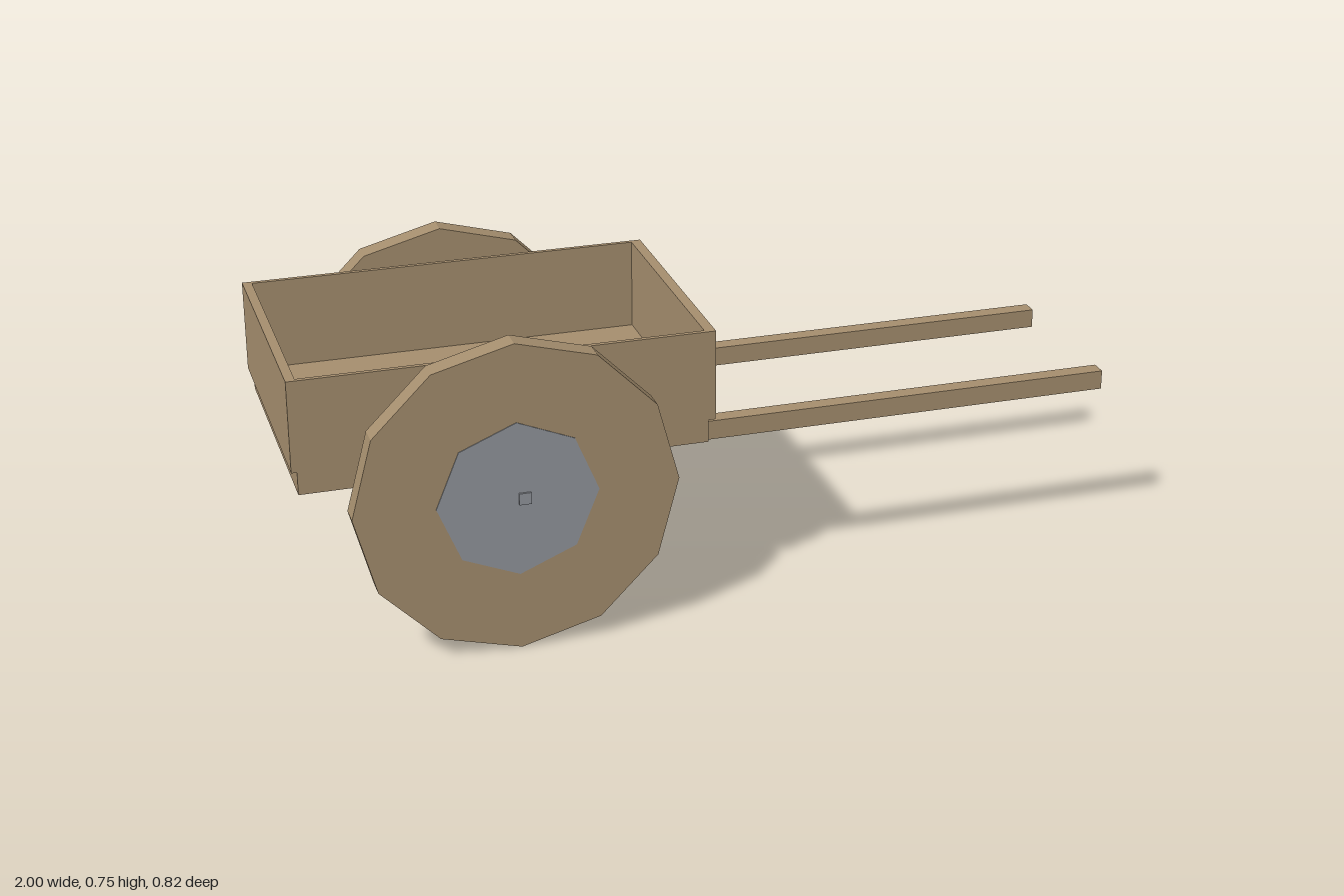
import * as THREE from 'three';

export function createModel() {
  const cart = new THREE.Group();
  cart.name = 'handcart';

  const wood = new THREE.MeshStandardMaterial({ color: 0xa68f6f, flatShading: true });
  wood.name = 'wood';
  const iron = new THREE.MeshStandardMaterial({ color: 0x94989f, flatShading: true });
  iron.name = 'iron';

  const add = (name, geometry, material) => {
    const mesh = new THREE.Mesh(geometry, material);
    mesh.name = name;
    cart.add(mesh);
    return mesh;
  };

  // Box given by its lower and upper limits on each axis
  const slab = (name, material, [x0, x1], [y0, y1], [z0, z1]) => {
    const mesh = add(name, new THREE.BoxGeometry(x1 - x0, y1 - y0, z1 - z0), material);
    mesh.position.set((x0 + x1) / 2, (y0 + y1) / 2, (z0 + z1) / 2);
    return mesh;
  };

  // Disc standing upright, with its flat faces along z and a corner at the bottom
  const disc = (name, material, radius, thickness, sides, z) => {
    const geometry = new THREE.CylinderGeometry(radius, radius, thickness, sides);
    geometry.rotateX(Math.PI / 2);
    add(name, geometry, material).position.set(-0.51, 0.378, z);
  };

  // Cargo bed: floor, two end boards and two side boards
  const wall = [0.467, 0.687];
  slab('floor', wood, [-0.987, -0.033], [0.412, 0.467], [-0.308, 0.308]);
  slab('rearBoard', wood, [-1, -0.978], wall, [-0.308, 0.308]);
  slab('frontBoard', wood, [-0.041, -0.016], wall, [-0.308, 0.308]);

  // Axle
  slab('axle', iron, [-0.509, -0.481], [0.365, 0.393], [-0.41, 0.41]);

  // Mirrored parts
  for (const [side, s] of [['left', 1], ['right', -1]]) {
    const across = (a, b) => (s > 0 ? [a, b] : [-b, -a]);
    slab(side + 'SideBoard', wood, [-0.978, -0.041], wall, across(0.297, 0.308));
    slab(side + 'Shaft', wood, [-0.48, 1], [0.378, 0.425], across(0.187, 0.227));
    disc(side + 'Wheel', wood, 0.377, 0.053, 12, s * 0.3765);
    disc(side + 'HubPlate', iron, 0.188, 0.057, 8, s * 0.3765);
  }

  return cart;
}
